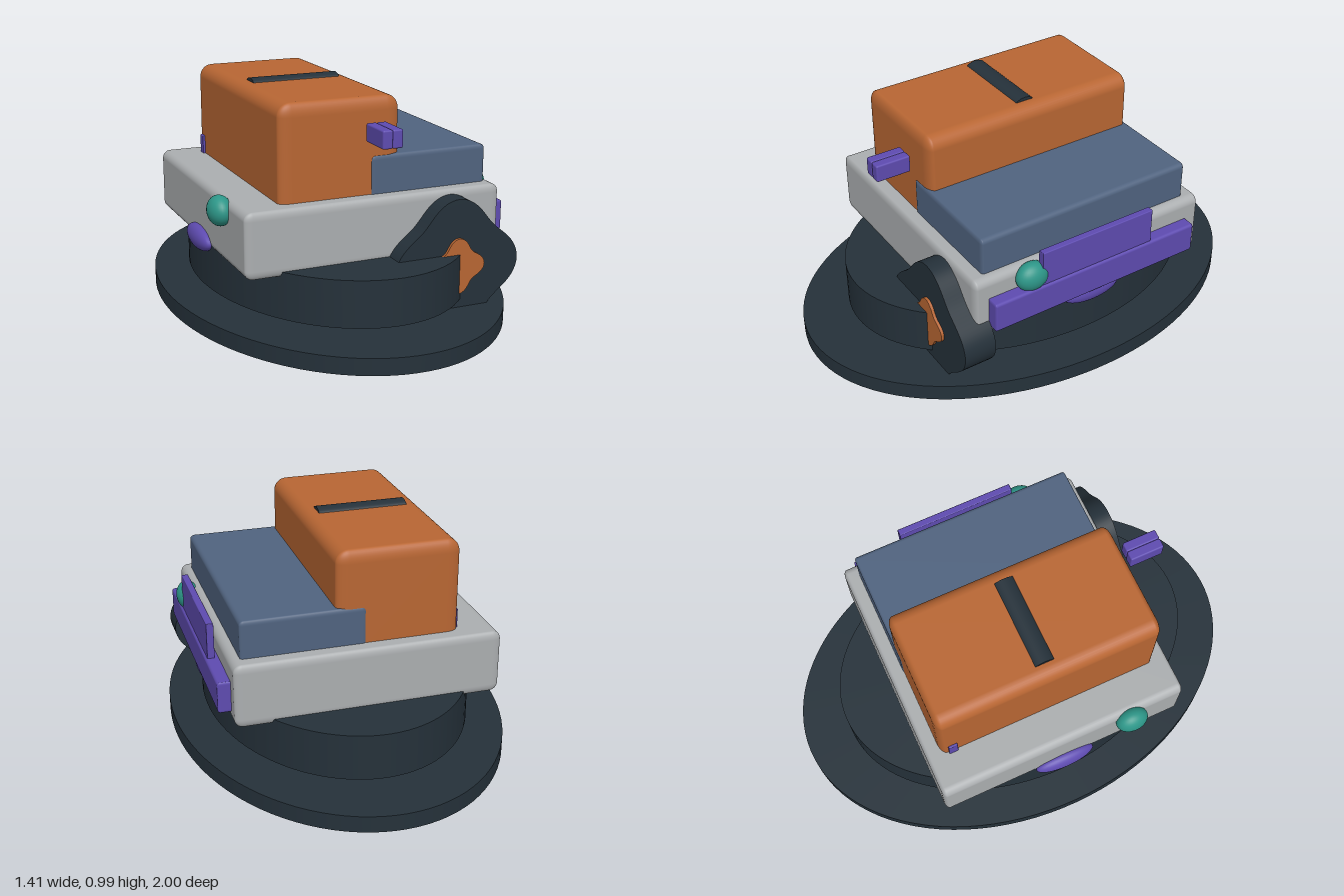
import * as THREE from 'three';
import { toCreasedNormals } from 'three/addons/utils/BufferGeometryUtils.js';
import { RoundedBoxGeometry } from 'three/addons/geometries/RoundedBoxGeometry.js';

const paint = (name, color) => {
  const m = new THREE.MeshStandardMaterial({ color });
  m.name = name;
  return m;
};

export function createModel() {
  const model = new THREE.Group();
  const dark = paint('darkSlate', 0x25313a);
  const orange = paint('orange', 0xb86633);
  const grey = paint('lightGrey', 0xabaeb0);
  const blue = paint('steelBlue', 0x50637f);
  const purple = paint('purple', 0x5e4bb0);
  const teal = paint('teal', 0x2d9688);

  const add = (name, geometry, material, x = 0, y = 0, z = 0) => {
    const mesh = new THREE.Mesh(geometry, material);
    mesh.name = name;
    mesh.position.set(x, y, z);
    model.add(mesh);
    return mesh;
  };

  // Rounded block from min/max ranges; the rounding is tighter along z
  const block = (name, material, [x0, x1], [y0, y1], [z0, z1], r, squash = 0.5) => {
    const g = new RoundedBoxGeometry(x1 - x0, y1 - y0, (z1 - z0) / squash, 4, r);
    g.scale(1, 1, squash);
    return add(name, g, material, (x0 + x1) / 2, (y0 + y1) / 2, (z0 + z1) / 2);
  };

  // Elliptical disc between two heights
  const disc = (name, rx, rz, y0, y1) => {
    const g = new THREE.CylinderGeometry(1, 1, y1 - y0, 96);
    g.scale(rx, 1, rz);
    add(name, g, dark, 0, (y0 + y1) / 2, 0);
  };

  const ellipsoid = (name, material, [rx, ry, rz], x, y, z) => {
    const g = new THREE.SphereGeometry(1, 32, 20);
    g.scale(rx, ry, rz);
    add(name, g, material, x, y, z);
  };

  // Four-lobed plate extruded along z
  const lobed = (name, material, mean, wave, z0, z1) => {
    const points = [];
    for (let i = 0; i < 96; i++) {
      const a = (i / 96) * Math.PI * 2;
      const r = mean + wave * Math.cos(4 * a);
      points.push(new THREE.Vector2(r * Math.cos(a), r * Math.sin(a)));
    }
    const g = new THREE.ExtrudeGeometry(new THREE.Shape(points), { depth: z1 - z0, bevelEnabled: false });
    add(name, toCreasedNormals(g, 0.6), material, 0.325, 0.28, z0);
  };

  // Oval base and drum
  disc('basePlate', 0.707, 1, 0.03, 0.1);
  disc('drum', 0.56, 0.793, 0.135, 0.33);

  // Main body and upper blocks
  block('body', grey, [-0.555, 0.555], [0.31, 0.58], [-0.555, 0.55], 0.035);
  block('tower', orange, [-0.39, 0.125], [0.45, 0.975], [-0.492, 0.488], 0.055);
  block('sideDeck', blue, [0, 0.515], [0.45, 0.738], [-0.495, 0.493], 0.02);

  // Rounded bar on top of the tower
  const bar = new THREE.CylinderGeometry(1, 1, 0.385, 32);
  bar.rotateZ(Math.PI / 2);
  bar.scale(1, 0.025, 0.044);
  add('topBar', bar, dark, -0.13, 0.965, -0.002);

  // Lobed wheel with hub
  lobed('wheel', dark, 0.2525, 0.0265, 0.49, 0.63);
  lobed('wheelHub', orange, 0.101, 0.016, 0.6, 0.642);

  // Paired blocks floating in front of the tower
  for (const s of [-1, 1]) {
    block('frontBlock', purple, [s * 0.0215 - 0.0215, s * 0.0215 + 0.0215], [0.808, 0.882], [0.528, 0.678], 0.007, 1);
  }

  // Side rails on the left
  block('lowerRail', purple, [0.545, 0.609], [0.355, 0.488], [-0.49, 0.49], 0.012);
  block('upperRail', purple, [0.57, 0.6], [0.47, 0.64], [-0.268, 0.268], 0.004);

  // Small tab on the right of the tower
  block('tab', purple, [-0.4, -0.37], [0.55, 0.66], [-0.46, -0.42], 0.004, 1);

  // Knobs on both sides
  for (const s of [-1, 1]) {
    ellipsoid('sideKnob', teal, [0.05, 0.062, 0.071], s * 0.57, 0.53, 0.3);
    ellipsoid('lowerBulge', purple, [0.038, 0.05, 0.135], s * 0.56, 0.331, 0);
  }

  return model;
}
